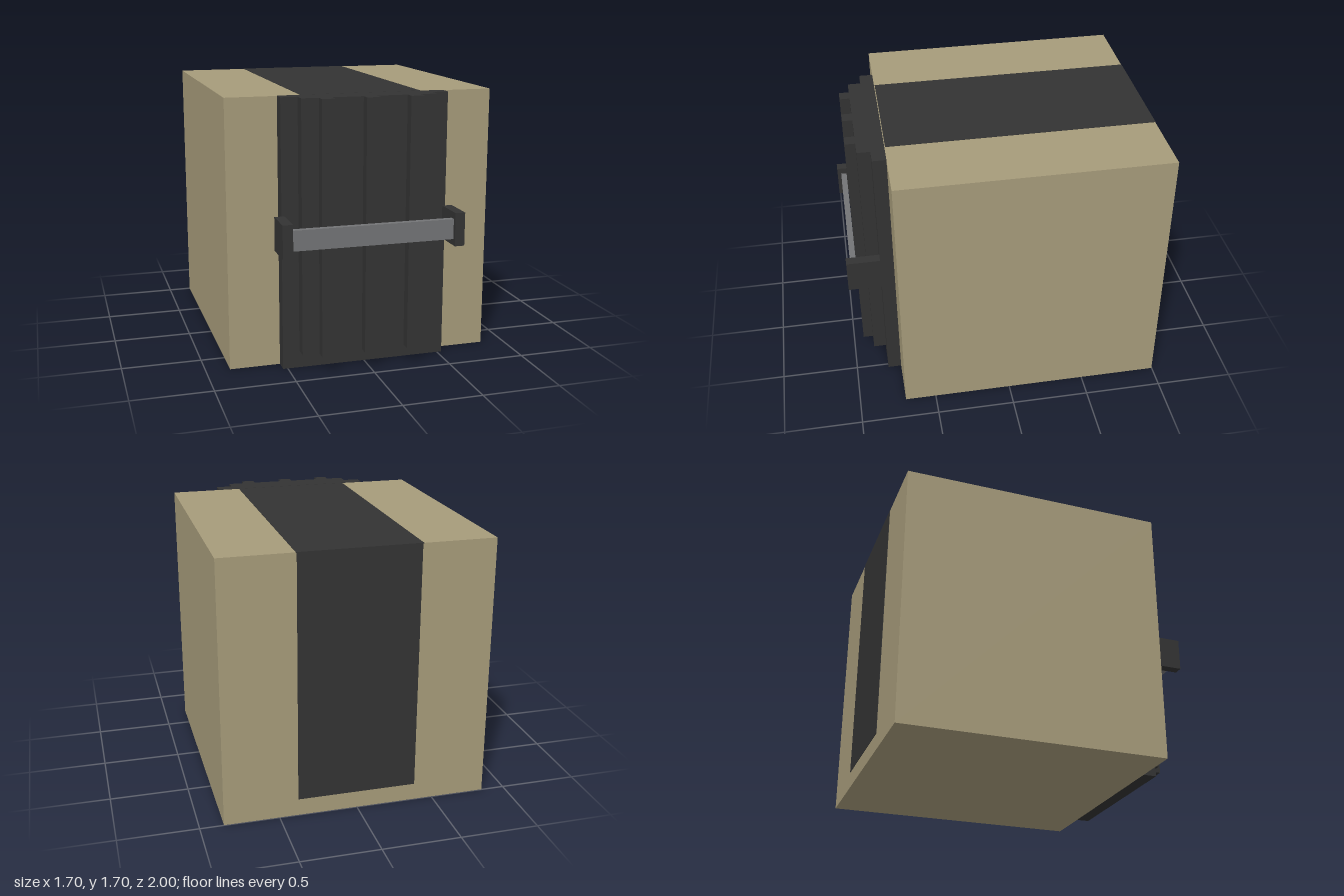
import * as THREE from 'three';

export function createModel() {
  const model = new THREE.Group();
  const tan = new THREE.MeshStandardMaterial({ name: 'tan', color: 0xa69b7a });
  const dark = new THREE.MeshStandardMaterial({ name: 'charcoal', color: 0x333333 });
  const grey = new THREE.MeshStandardMaterial({ name: 'grey', color: 0x737476 });

  // Box given by its lower and upper corners
  const box = (name, material, [x0, y0, z0], [x1, y1, z1]) => {
    const mesh = new THREE.Mesh(new THREE.BoxGeometry(x1 - x0, y1 - y0, z1 - z0), material);
    mesh.position.set((x0 + x1) / 2, (y0 + y1) / 2, (z0 + z1) / 2);
    mesh.name = name;
    model.add(mesh);
  };

  // Main block
  box('body', tan, [-0.85, 0, -0.998], [0.85, 1.698, 0.7]);

  // Painted band over the top and down the back
  box('topStripe', dark, [-0.385, 1.695, -1], [0.385, 1.7, 0.695]);
  box('backStripe', dark, [-0.38, 0.11, -1], [0.38, 1.695, -0.995]);

  // Stepped front panel with three vertical ribs
  box('frontPlate', dark, [-0.53, 0, 0.7], [0.53, 1.7, 0.787]);
  box('raisedPanel', dark, [-0.425, 0.11, 0.787], [0.425, 1.7, 0.87]);
  for (const [x0, x1] of [[-0.318, -0.235], [-0.042, 0.042], [0.235, 0.318]]) {
    box('rib', dark, [x0, 0.11, 0.87], [x1, 1.7, 0.935]);
  }

  // Cross bar held by a bracket at each end
  box('crossBar', grey, [-0.53, 0.81, 0.937], [0.53, 0.937, 0.975]);
  box('leftBracket', dark, [0.512, 0.77, 0.787], [0.575, 0.98, 1]);
  box('rightBracket', dark, [-0.575, 0.77, 0.787], [-0.512, 0.98, 1]);

  return model;
}
